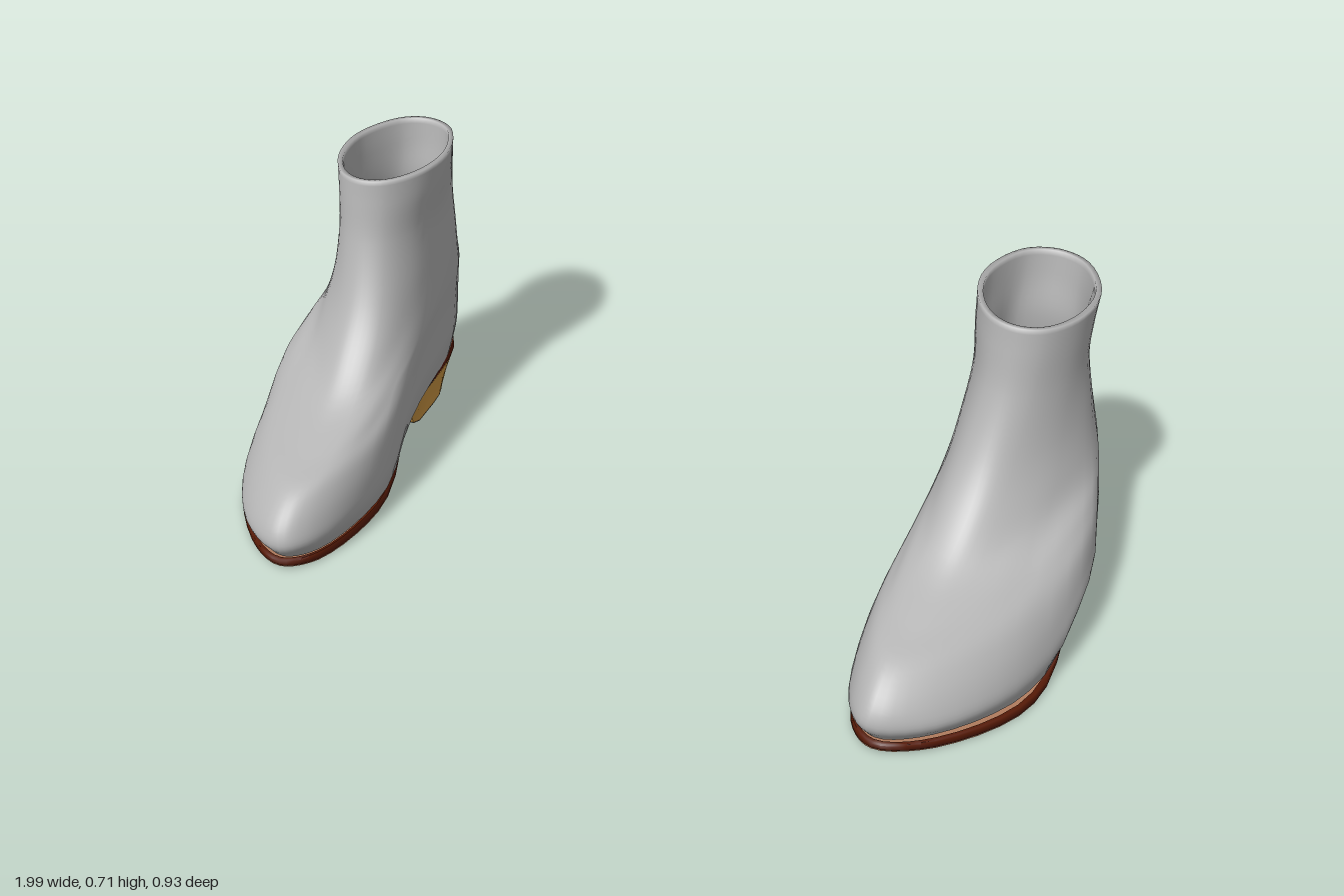
import * as THREE from 'three';
import { toCreasedNormals } from 'three/addons/utils/BufferGeometryUtils.js';

const material = (name, color) => new THREE.MeshStandardMaterial({ name, color, side: THREE.DoubleSide });
const COLS = 48;

// Top edge and thickness of the welt along the foot: [z, y, thickness] from toe to heel
const WELT = [[0.46, 0.025, 0.016], [0.4, 0.023, 0.019], [0.2, 0.022, 0.021], [0.12, 0.026, 0.022],
  [0.07, 0.038, 0.021], [0.04, 0.058, 0.018], [0, 0.084, 0.012], [-0.05, 0.102, 0.01], [-0.1, 0.114, 0.01],
  [-0.18, 0.127, 0.012], [-0.28, 0.136, 0.016], [-0.44, 0.141, 0.02]];
function weltAt(z, column) {
  for (let i = 1; i < WELT.length; i++) {
    const a = WELT[i - 1], b = WELT[i];
    if (z >= b[0]) {
      const t = THREE.MathUtils.clamp((a[0] - z) / (a[0] - b[0]), 0, 1);
      return THREE.MathUtils.lerp(a[column], b[column], t);
    }
  }
  return WELT[WELT.length - 1][column];
}
const weltY = (z) => weltAt(z, 1);
const soleY = (z) => Math.max(0.001, weltY(z) - weltAt(z, 2));

// Slices of the left boot, sole edge to collar:
// yFront, yBack, zFront, zBack, toe x, four outer x, heel x, four inner x (heel to toe)
const FOOT = [
  [0.024, 0.138, 0.438, -0.43, 0.70, 0.80, 0.94, 0.98, 0.888, 0.80, 0.708, 0.655, 0.615, 0.645],
  [0.065, 0.20, 0.465, -0.453, 0.69, 0.81, 0.945, 0.996, 0.893, 0.803, 0.70, 0.645, 0.60, 0.635],
  [0.105, 0.25, 0.452, -0.464, 0.695, 0.80, 0.935, 0.99, 0.893, 0.803, 0.70, 0.645, 0.60, 0.64],
  [0.16, 0.295, 0.39, -0.466, 0.70, 0.785, 0.918, 0.98, 0.89, 0.80, 0.70, 0.647, 0.61, 0.65],
  [0.197, 0.34, 0.28, -0.464, 0.715, 0.785, 0.902, 0.965, 0.887, 0.797, 0.70, 0.65, 0.63, 0.66],
];
const SHAFT = [
  [0.25, 0.385, 0.14, -0.454, 0.735, 0.795, 0.888, 0.947, 0.88, 0.79, 0.697, 0.653, 0.645, 0.68],
  [0.33, 0.435, 0.045, -0.437, 0.75, 0.803, 0.887, 0.928, 0.872, 0.785, 0.695, 0.657, 0.656, 0.69],
  [0.42, 0.49, -0.022, -0.425, 0.755, 0.81, 0.88, 0.91, 0.86, 0.78, 0.693, 0.662, 0.664, 0.70],
  [0.55, 0.57, -0.077, -0.417, 0.765, 0.82, 0.875, 0.89, 0.845, 0.772, 0.694, 0.666, 0.672, 0.713],
  [0.645, 0.65, -0.096, -0.429, 0.77, 0.826, 0.877, 0.889, 0.838, 0.77, 0.699, 0.654, 0.663, 0.712],
  [0.70, 0.712, -0.104, -0.437, 0.77, 0.828, 0.88, 0.893, 0.838, 0.77, 0.70, 0.648, 0.66, 0.712],
];
const SOLE = [0, 0, 0.455, -0.44, 0.70, 0.81, 0.957, 0.968, 0.892, 0.80, 0.705, 0.662, 0.607, 0.64];
const FRACTIONS = [0, 0.06, 0.28, 0.6, 0.92, 1, 0.92, 0.6, 0.28, 0.06];

// Smooth closed outline of one slice, toe > outer side > heel > inner side
function outline([, , zf, zb, ...xs]) {
  const pts = xs.map((x, i) => new THREE.Vector3(x, 0, THREE.MathUtils.lerp(zf, zb, FRACTIONS[i])));
  const curve = new THREE.CatmullRomCurve3(pts, true, 'centripetal');
  return Array.from({ length: COLS }, (_, c) => curve.getPoint(c / COLS));
}

// Skin a list of rows; side -1 mirrors the result for the other foot
function loft(rows, side, closed = true) {
  const n = rows[0].length, index = [];
  const pos = rows.flat().flatMap((p) => [p.x * side, p.y, p.z]);
  const tri = (a, b, c) => (side > 0 ? index.push(a, b, c) : index.push(a, c, b));
  for (let r = 0; r < rows.length - 1; r++) {
    for (let c = 0; c < (closed ? n : n - 1); c++) {
      const a = r * n + c, b = r * n + ((c + 1) % n);
      tri(a, b, a + n);
      tri(b, b + n, a + n);
    }
  }
  const geo = new THREE.BufferGeometry();
  geo.setAttribute('position', new THREE.Float32BufferAttribute(pos, 3));
  geo.setIndex(index);
  geo.computeVertexNormals();
  return geo;
}

// Move a row towards its own middle by a fixed distance
function inset(row, d) {
  const mid = row.reduce((s, p) => s.add(p), new THREE.Vector3()).divideScalar(row.length);
  return row.map((p) => {
    const v = new THREE.Vector3(mid.x - p.x, 0, mid.z - p.z);
    return p.clone().add(v.setLength(Math.min(d, v.length() * 0.5)));
  });
}

// Outer skin, rolled over the collar into a lining
function upperGeometry(side) {
  const levels = [...FOOT, ...SHAFT].map((s, i) => {
    const [yf, yb, zf, zb] = s;
    const follow = THREE.MathUtils.clamp(1.2 - 0.2 * i, 0, 1); // low slices follow the arch
    return outline(s).map((p) => {
      const f = (zf - p.z) / (zf - zb);
      p.y = THREE.MathUtils.lerp(yf, yb, f) + follow * (weltY(p.z) - THREE.MathUtils.lerp(0.024, 0.14, f));
      return p;
    });
  });
  const columns = levels[0].map((_, c) => new THREE.CatmullRomCurve3(levels.map((l) => l[c]), false, 'centripetal'));
  const N = 50;
  const outer = Array.from({ length: N + 1 }, (_, r) => columns.map((k) => k.getPoint(r / N)));
  const lining = outer.map((row) => inset(row, 0.012)).reverse();
  return loft([...outer, ...lining], side);
}

// Thin edge running round the whole sole
function weltGeometry(side) {
  const edge = outline(SOLE);
  const at = (row, fn) => row.map((p) => new THREE.Vector3(p.x, fn(p.z), p.z));
  const inner = inset(edge, 0.012), bevel = inset(edge, 0.003);
  return toCreasedNormals(loft([
    at(inner, soleY), at(bevel, soleY), at(edge, (z) => soleY(z) + 0.003),
    at(edge, (z) => weltY(z) - 0.003), at(bevel, weltY), at(inner, weltY),
  ], side), 0.9);
}

// Underside of the forefoot and arch, ending at the heel
function outsoleGeometry(side) {
  const edge = inset(outline(SOLE), 0.001), rows = [];
  for (let c = 0; c < COLS / 2; c++) {
    const a = edge[c], b = edge[(COLS - c) % COLS];
    if (a.z < -0.13) break;
    rows.push([0, 0.25, 0.5, 0.75, 1].map((t) => {
      const p = a.clone().lerp(b, t);
      p.y = soleY(p.z) - 0.001;
      return p;
    }));
  }
  return loft(rows, side, false);
}

// Heel outline: rounded back with a straight front
function heelOutline() {
  const back = inset(outline(SOLE), 0.002).filter((p) => p.z < -0.095);
  const a = back[0], b = back[back.length - 1];
  const front = [0.04, 0.3, 0.5, 0.7, 0.96].map((t) => b.clone().lerp(a, t).setZ(-0.092));
  return [...back, ...front];
}
function heelRow(sx, sz, drop) {
  return heelOutline().map((p) => new THREE.Vector3(
    0.815 + (p.x - 0.815) * sx, soleY(p.z) * (1 - drop) + 0.002 * drop, -0.31 + (p.z + 0.31) * sz));
}

function createBoot(side, mats) {
  const boot = new THREE.Group();
  boot.name = side > 0 ? 'leftBoot' : 'rightBoot';
  const add = (name, geo, mat) => {
    const mesh = new THREE.Mesh(geo, mat);
    mesh.name = name;
    boot.add(mesh);
  };
  add('upper', upperGeometry(side), mats.leather);
  add('welt', weltGeometry(side), mats.welt);
  add('outsole', outsoleGeometry(side), mats.outsole);

  // Hollow tapered heel block
  const foot = heelRow(0.71, 0.634, 1);
  const heelRows = [foot, heelRow(0.72, 0.65, 0.93), heelRow(0.83, 0.79, 0.5), heelRow(1, 1, 0)];
  add('heel', toCreasedNormals(loft(heelRows, side), 0.7), mats.heel);

  // Heel tip, a flat cap closing the block
  const tip = foot.map((p) => p.clone().setY(0));
  const middle = tip.map(() => new THREE.Vector3(0.815, 0, -0.28));
  add('heelTip', loft([middle, tip], side), mats.tip);
  return boot;
}

export function createModel() {
  const mats = {
    leather: material('grey leather', 0xb4b4b4),
    welt: material('dark red brown', 0x561a06),
    outsole: material('brown sole', 0xb07c5e),
    heel: material('tan wood', 0xd69d46),
    tip: material('black rubber', 0x2e2e2e),
  };
  const model = new THREE.Group();
  model.name = 'ankleBoots';
  for (const side of [1, -1]) model.add(createBoot(side, mats));
  return model;
}
